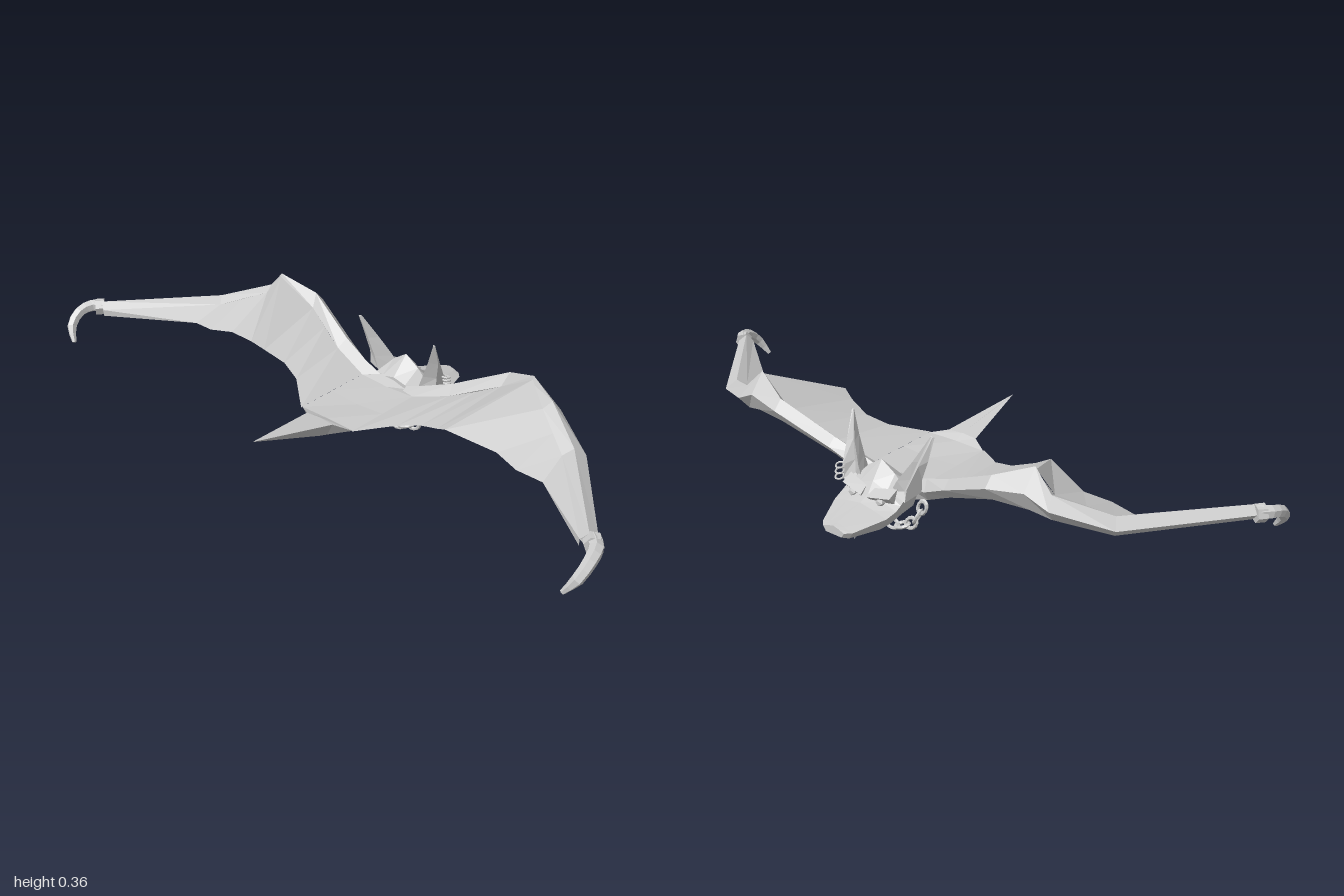
import * as THREE from 'three';

const mat = new THREE.MeshStandardMaterial({ color: 0xcccccc, flatShading: true, side: THREE.DoubleSide });

function mesh(name, geometry) {
  const m = new THREE.Mesh(geometry, mat);
  m.name = name;
  return m;
}

// Skin a list of cross-sections (arrays of [x, y, z]); closed rings get end caps
function loft(rings, closed = true) {
  const n = rings[0].length, pos = rings.flat(2), idx = [];
  for (let i = 0; i < rings.length - 1; i++) {
    for (let j = 0; j < (closed ? n : n - 1); j++) {
      const a = i * n + j, b = i * n + (j + 1) % n;
      idx.push(a, b, a + n, b, b + n, a + n);
    }
  }
  if (closed) {
    const last = (rings.length - 1) * n;
    for (let j = 1; j < n - 1; j++) {
      idx.push(0, j + 1, j, last, last + j, last + j + 1);
    }
  }
  const g = new THREE.BufferGeometry();
  g.setAttribute('position', new THREE.Float32BufferAttribute(pos, 3));
  g.setIndex(idx);
  const flat = g.toNonIndexed();
  flat.computeVertexNormals();
  return flat;
}

// Tapering horn that follows a smooth path
function horn(points, radii, steps, sides) {
  const curve = new THREE.CatmullRomCurve3(points.map(p => new THREE.Vector3(...p)));
  const f = curve.computeFrenetFrames(steps);
  const rings = [];
  for (let i = 0; i <= steps; i++) {
    const t = i / steps, c = curve.getPoint(t);
    const k = t * (radii.length - 1), k0 = Math.min(Math.floor(k), radii.length - 2);
    const r = THREE.MathUtils.lerp(radii[k0], radii[k0 + 1], k - k0);
    rings.push(Array.from({ length: sides }, (_, j) => {
      const a = j / sides * Math.PI * 2;
      return c.clone().addScaledVector(f.normals[i], r * Math.cos(a))
        .addScaledVector(f.binormals[i], r * Math.sin(a)).toArray();
    }));
  }
  return loft(rings);
}

function makeWing() {
  const wing = new THREE.Group();

  // Arm bone: front, top, back and lower corner at each joint
  wing.add(mesh('wingArm', loft([
    [[0.05, 0.16, -0.17], [0.05, 0.18, -0.16], [0.05, 0.16, -0.13], [0.05, 0.11, -0.15]],
    [[0.13, 0.175, -0.19], [0.12, 0.205, -0.165], [0.10, 0.175, -0.13], [0.12, 0.135, -0.16]],
    [[0.21, 0.215, -0.205], [0.21, 0.24, -0.18], [0.22, 0.215, -0.15], [0.21, 0.18, -0.175]],
    [[0.38, 0.295, -0.248], [0.38, 0.325, -0.22], [0.37, 0.285, -0.195], [0.38, 0.25, -0.215]],
    [[0.49, 0.31, -0.23], [0.49, 0.37, -0.18], [0.49, 0.35, -0.172], [0.49, 0.25, -0.20]],
    [[0.56, 0.275, -0.218], [0.55, 0.31, -0.19], [0.54, 0.295, -0.16], [0.55, 0.235, -0.185]],
    [[0.71, 0.232, -0.13], [0.69, 0.258, -0.10], [0.67, 0.24, -0.075], [0.69, 0.20, -0.10]],
    [[0.96, 0.235, 0.175], [0.94, 0.255, 0.19], [0.92, 0.235, 0.20], [0.94, 0.21, 0.19]],
  ])));

  // Membrane: arm edge to scalloped trailing edge
  wing.add(mesh('wingMembrane', loft([
    [[0.10, 0.175, -0.13], [0.10, 0.17, 0.13]],
    [[0.22, 0.215, -0.15], [0.20, 0.195, 0.05]],
    [[0.30, 0.25, -0.175], [0.27, 0.215, 0.03]],
    [[0.37, 0.285, -0.195], [0.34, 0.24, 0.045]],
    [[0.49, 0.36, -0.175], [0.38, 0.26, 0.06]],
    [[0.54, 0.295, -0.16], [0.52, 0.225, 0.012]],
    [[0.61, 0.265, -0.115], [0.60, 0.213, 0.03]],
    [[0.67, 0.24, -0.075], [0.68, 0.205, 0.02]],
    [[0.92, 0.235, 0.20], [0.92, 0.215, 0.20]],
  ], false)));

  // Wrist collar and hooked claw
  const collar = mesh('wristCollar', new THREE.CylinderGeometry(0.026, 0.026, 0.028, 6));
  collar.position.set(0.952, 0.233, 0.188);
  collar.quaternion.setFromUnitVectors(new THREE.Vector3(0, 1, 0), new THREE.Vector3(0.64, 0, 0.77).normalize());
  wing.add(collar);
  wing.add(mesh('claw', horn(
    [[0.945, 0.235, 0.18], [0.972, 0.236, 0.205], [0.984, 0.225, 0.245], [0.978, 0.19, 0.285], [0.95, 0.148, 0.302]],
    [0.022, 0.02, 0.018, 0.016, 0.007], 8, 6)));
  return wing;
}

function makeEar() {
  const ear = new THREE.Group();
  // Curved pointed ear, hollow on its front side
  ear.add(mesh('ear', loft([
    [[0.05, 0.17, -0.24], [0.09, 0.18, -0.225], [0.115, 0.165, -0.255], [0.13, 0.18, -0.20], [0.08, 0.18, -0.18]],
    [[0.07, 0.21, -0.235], [0.10, 0.215, -0.215], [0.118, 0.205, -0.25], [0.132, 0.22, -0.20], [0.095, 0.22, -0.18]],
    [[0.105, 0.27, -0.21], [0.118, 0.27, -0.20], [0.13, 0.265, -0.215], [0.145, 0.275, -0.19], [0.118, 0.275, -0.175]],
    [[0.139, 0.343, -0.172], [0.142, 0.345, -0.17], [0.146, 0.343, -0.172], [0.15, 0.343, -0.168], [0.144, 0.343, -0.165]],
  ])));
  // Slanted brow, eye and fang
  ear.add(mesh('brow', loft([
    [[0.01, 0.165, -0.297], [0.015, 0.182, -0.265], [0.02, 0.15, -0.28]],
    [[0.085, 0.178, -0.287], [0.085, 0.195, -0.25], [0.085, 0.155, -0.265]],
  ])));
  const eye = mesh('eye', new THREE.IcosahedronGeometry(0.014, 0));
  eye.position.set(0.05, 0.157, -0.282);
  ear.add(eye);
  const fang = mesh('fang', new THREE.ConeGeometry(0.009, 0.028, 5));
  fang.rotation.x = Math.PI;
  fang.position.set(0.035, 0.09, -0.375);
  ear.add(fang);
  return ear;
}

export function createModel() {
  const model = new THREE.Group();
  model.name = 'bat';

  // Body tapering into the tail: z, half width, side height, top height, keel height
  model.add(mesh('bodyAndTail', loft([
    [-0.19, 0.09, 0.165, 0.19, 0.10], [-0.13, 0.10, 0.175, 0.17, 0.105], [0, 0.10, 0.172, 0.165, 0.13],
    [0.125, 0.10, 0.17, 0.172, 0.117], [0.155, 0.05, 0.183, 0.187, 0.126], [0.41, 0.001, 0.22, 0.221, 0.219],
  ].map(([z, w, s, t, k]) => [[-w, s, z], [0, t, z], [w, s, z], [0, k, z]]))));

  // Head with a peaked crown and flat snout: z, half width, side, crown and jaw heights
  model.add(mesh('head', loft([
    [-0.422, 0.038, 0.115, 0.127, 0.10], [-0.405, 0.055, 0.115, 0.13, 0.094], [-0.31, 0.095, 0.13, 0.15, 0.09],
    [-0.275, 0.10, 0.14, 0.165, 0.092], [-0.255, 0.10, 0.15, 0.195, 0.095], [-0.215, 0.095, 0.17, 0.248, 0.098],
    [-0.16, 0.09, 0.165, 0.19, 0.10],
  ].map(([z, w, s, t, b]) => [[-w, s, z], [-w * 0.5, s + (t - s) * 0.6, z], [0, t, z],
    [w * 0.5, s + (t - s) * 0.6, z], [w, s, z], [w * 0.75, b, z], [-w * 0.75, b, z]]))));

  // Mirrored wings and face sides
  for (const [side, s] of [['left', 1], ['right', -1]]) {
    for (const [name, make] of [['Wing', makeWing], ['FaceSide', makeEar]]) {
      const part = make();
      part.name = side + name;
      part.scale.x = s;
      model.add(part);
    }
  }

  // Earrings on the left ear
  for (let i = 0; i < 3; i++) {
    const ring = mesh('earring', new THREE.TorusGeometry(0.013, 0.003, 5, 10));
    ring.position.set(0.118 + i * 0.004, 0.175 + i * 0.014, -0.262 + i * 0.006);
    ring.rotation.x = Math.PI / 2 - 0.3;
    model.add(ring);
  }

  // Chain hanging under the neck
  const chain = new THREE.Group();
  chain.name = 'chain';
  const path = new THREE.CatmullRomCurve3([[-0.112, 0.115], [-0.085, 0.063], [-0.045, 0.035], [0, 0.026],
    [0.045, 0.035], [0.085, 0.063], [0.112, 0.115]].map(([x, y]) => new THREE.Vector3(x, y, -0.175)));
  const links = 9;
  for (let i = 0; i < links; i++) {
    const t = i / (links - 1), d = path.getTangentAt(t);
    const link = mesh('chainLink', new THREE.TorusGeometry(0.015, 0.0055, 6, 12).scale(1.5, 1, 1));
    link.position.copy(path.getPointAt(t));
    link.rotation.set(i % 2 ? 1.4 : 0.15, 0, Math.atan2(d.y, d.x), 'ZYX');
    chain.add(link);
  }
  model.add(chain);
  return model;
}
